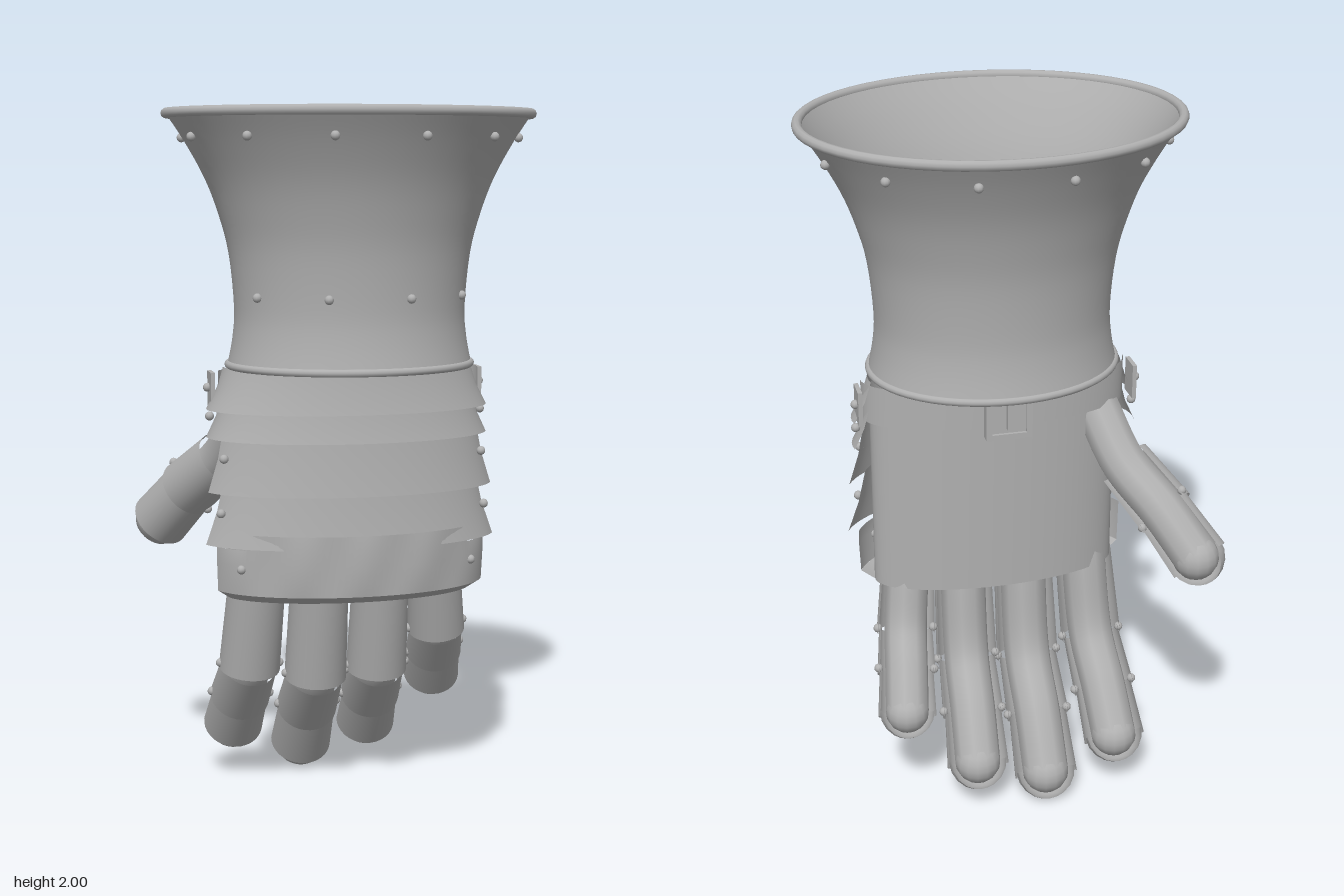
import * as THREE from 'three';

const CX = 0.025; // centre line of cuff and hand
const V = (x, y, z) => new THREE.Vector3(x, y, z);
const rad = THREE.MathUtils.degToRad;

// Smooth surface through rings of equal point count
function loft(rings) {
  const n = rings[0].length, pos = [], idx = [];
  rings.forEach(r => r.forEach(p => pos.push(p.x, p.y, p.z)));
  for (let i = 0; i < rings.length - 1; i++) {
    for (let j = 0; j < n - 1; j++) {
      const a = i * n + j, b = a + 1, c = a + n, d = c + 1;
      idx.push(a, c, b, b, c, d);
    }
  }
  const g = new THREE.BufferGeometry();
  g.setAttribute('position', new THREE.Float32BufferAttribute(pos, 3));
  g.setIndex(idx);
  g.computeVertexNormals();
  return g;
}

// Horizontal elliptical arc; angle 0 faces the front
function arc(y, rx, rz, zc, from, to, n = 32) {
  return Array.from({ length: n + 1 }, (_, i) => {
    const a = rad(from + (to - from) * i / n);
    return V(CX + rx * Math.sin(a), typeof y === 'function' ? y(a) : y, zc + rz * Math.cos(a));
  });
}

export function createModel() {
  const root = new THREE.Group();
  const steel = new THREE.MeshStandardMaterial({ color: 0xb0b0b0, side: THREE.DoubleSide });
  steel.name = 'steel grey';

  function add(name, geo, parent = root) {
    const m = new THREE.Mesh(geo, steel);
    m.name = name;
    parent.add(m);
    return m;
  }
  const rivetGeo = new THREE.SphereGeometry(0.013, 10, 8);
  const rivet = (p, parent = root) => add('rivet', rivetGeo, parent).position.copy(p);

  // Flared cuff: outer wall up, inner wall down
  const cuff = new THREE.Group();
  cuff.name = 'cuff';
  root.add(cuff);
  const profile = new THREE.SplineCurve([
    [0.352, 1.28], [0.336, 1.36], [0.33, 1.45], [0.344, 1.6], [0.372, 1.71],
    [0.41, 1.81], [0.465, 1.91], [0.518, 1.99],
  ].map(p => new THREE.Vector2(...p))).getPoints(28);
  const inner = profile.map(p => new THREE.Vector2(p.x - 0.012, p.y)).reverse();
  for (const [name, pts] of [['cuffOuterWall', profile], ['cuffInnerWall', inner]]) {
    const wall = add(name, new THREE.LatheGeometry(pts, 56), cuff);
    wall.scale.z = 0.82;
    wall.position.set(CX, 0, 0.008);
  }
  for (const [r, t, y] of [[0.515, 0.014, 1.986], [0.348, 0.011, 1.288]]) {
    const rim = add('cuffRim', new THREE.TorusGeometry(r, t, 10, 56).rotateX(Math.PI / 2), cuff);
    rim.scale.z = 0.82;
    rim.position.set(CX, y, 0.008);
  }
  const cuffRivet = (deg, r, y) =>
    rivet(V(CX + r * Math.sin(rad(deg)), y, 0.008 + 0.82 * r * Math.cos(rad(deg))), cuff);
  for (let i = 0; i < 12; i++) cuffRivet(15 + i * 30, 0.478, 1.92);
  for (const d of [-60, -20, 20, 60]) cuffRivet(d, 0.335, 1.485);

  // Palm shell and its floor
  const palmRing = (y, s = 1) => arc(y, 0.355 * s, 1, 0, 0, 360, 64).map(p => {
    p.z *= (p.z > 0 ? 0.165 : 0.125) * s;
    return p;
  });
  add('palm', loft([palmRing(1.24), palmRing(0.95), palmRing(0.63)]));
  add('palmFloor', loft([palmRing(0.63), palmRing(0.63, 0.001)]));

  // Overlapping back-of-hand lames: [top, bottom, top rx, bottom rx, half angle]
  const ZC = -0.02;
  for (const [y1, y0, r1, r0, a] of [
    [1.28, 1.16, 0.36, 0.41, 98],
    [1.2, 1.08, 0.365, 0.41, 97],
    [1.12, 0.93, 0.38, 0.428, 76],
    [0.97, 0.78, 0.38, 0.436, 76],
  ]) {
    add('backLame', loft([arc(y1, r1, 0.205, ZC, -a, a), arc((y1 + y0) / 2, (r1 + r0) / 2 - 0.006, 0.21, ZC, -a, a),
      arc(y0, r0, 0.222, ZC, -a, a)]));
  }

  // Knuckle plate with a raised middle at its top edge
  const stepTop = a => (Math.abs(a) < rad(52) ? 0.82 : 0.775);
  const bulge = pts => pts.map(p => {
    p.z += 0.006 * Math.cos((p.x - CX) * 35);
    return p;
  });
  add('knucklePlate', loft([arc(stepTop, 0.405, 0.228, ZC, -76, 76, 60), bulge(arc(0.73, 0.405, 0.23, ZC, -76, 76, 60)),
    arc(0.645, 0.402, 0.222, ZC, -76, 76, 60)]));
  add('knuckleLip', loft([arc(0.645, 0.402, 0.222, ZC, -76, 76), arc(0.62, 0.365, 0.18, ZC, -76, 76)]));

  // Hand rivets and wrist strap tabs, mirrored about the centre line
  for (const s of [-1, 1]) {
    rivet(V(CX + s * 0.335, 0.72, 0.112));
    rivet(V(CX + s * 0.385, 0.875, 0.07));
    rivet(V(CX + s * 0.375, 1.03, 0.07));
    rivet(V(CX + s * 0.4, 1.14, -0.03));
    const tab = add('strapTab', new THREE.BoxGeometry(0.012, 0.1, 0.07));
    tab.position.set(CX + s * 0.392, 1.215, -0.045);
    rivet(V(CX + s * 0.402, 1.22, -0.05));
  }

  // Wrist strap and buckle
  add('wristStrap', loft([arc(1.27, 0.378, 0.155, 0, 90, 270), arc(1.155, 0.378, 0.155, 0, 90, 270)]));
  const buckle = new THREE.Group();
  buckle.name = 'buckle';
  buckle.position.set(CX, 1.21, -0.18);
  root.add(buckle);
  for (const s of [-1, 1]) {
    add('buckleSide', new THREE.BoxGeometry(0.016, 0.15, 0.03), buckle).position.x = s * 0.057;
    add('buckleBar', new THREE.BoxGeometry(0.13, 0.016, 0.03), buckle).position.y = s * 0.067;
  }
  add('bucklePlate', new THREE.BoxGeometry(0.1, 0.12, 0.012), buckle);
  add('bucklePin', new THREE.BoxGeometry(0.014, 0.09, 0.02), buckle).position.z = -0.012;

  // Digit: inner tube with rounded end, plus U-shaped plates over each bone
  function digit(name, pts, r, front, firstPlate = 0) {
    const g = new THREE.Group();
    g.name = name;
    root.add(g);
    const p = pts.map(q => V(...q));
    const tubeR = r * 0.76;
    add('innerTube', new THREE.TubeGeometry(new THREE.CatmullRomCurve3(p), 20, tubeR, 10), g);
    add('innerTip', new THREE.SphereGeometry(tubeR, 14, 10), g).position.copy(p[p.length - 1]);
    for (let i = firstPlate; i < p.length - 1; i++) {
      const a = p[i], b = p[i + 1];
      const d = b.clone().sub(a).normalize();
      const n = front.clone().addScaledVector(d, -front.dot(d)).normalize();
      const s = new THREE.Vector3().crossVectors(n, d);
      const ring = (c, rr, open = 100) => Array.from({ length: 19 }, (_, k) => {
        const t = rad(-open + 2 * open * k / 18);
        return c.clone().addScaledVector(s, rr * Math.sin(t)).addScaledVector(n, rr * Math.cos(t));
      });
      const end = b.clone().addScaledVector(d, 0.015);
      add('plate', loft([ring(a, r * 0.94), ring(end, r * 1.02)]), g);
      if (i === p.length - 2) {
        // Rounded fingertip cap
        const cap = [0, 20, 40, 60, 75, 89].map(f =>
          ring(b.clone().addScaledVector(d, r * 0.96 * Math.sin(rad(f))), r * 0.96 * Math.cos(rad(f))));
        add('tipCap', loft(cap), g);
      } else {
        for (const k of [-1, 1]) rivet(b.clone().addScaledVector(s, k * r), g);
      }
    }
  }
  const forward = V(0, 0, 1);
  digit('indexFinger', [[-0.245, 0.66, -0.01], [-0.258, 0.4, -0.07], [-0.268, 0.28, -0.18], [-0.275, 0.165, -0.275]], 0.088, forward);
  digit('middleFinger', [[-0.06, 0.66, -0.01], [-0.06, 0.36, -0.075], [-0.06, 0.23, -0.2], [-0.06, 0.088, -0.3]], 0.09, forward);
  digit('ringFinger', [[0.122, 0.66, -0.01], [0.126, 0.375, -0.075], [0.134, 0.26, -0.19], [0.142, 0.145, -0.285]], 0.088, forward);
  digit('littleFinger', [[0.285, 0.66, -0.01], [0.305, 0.49, -0.06], [0.32, 0.4, -0.14], [0.335, 0.305, -0.218]], 0.083, forward);
  digit('thumb', [[-0.27, 1.13, -0.04], [-0.32, 1.0, -0.15], [-0.4, 0.9, -0.265], [-0.472, 0.79, -0.362]], 0.087, V(-0.7, -0.2, 0.7), 1);

  return root;
}
